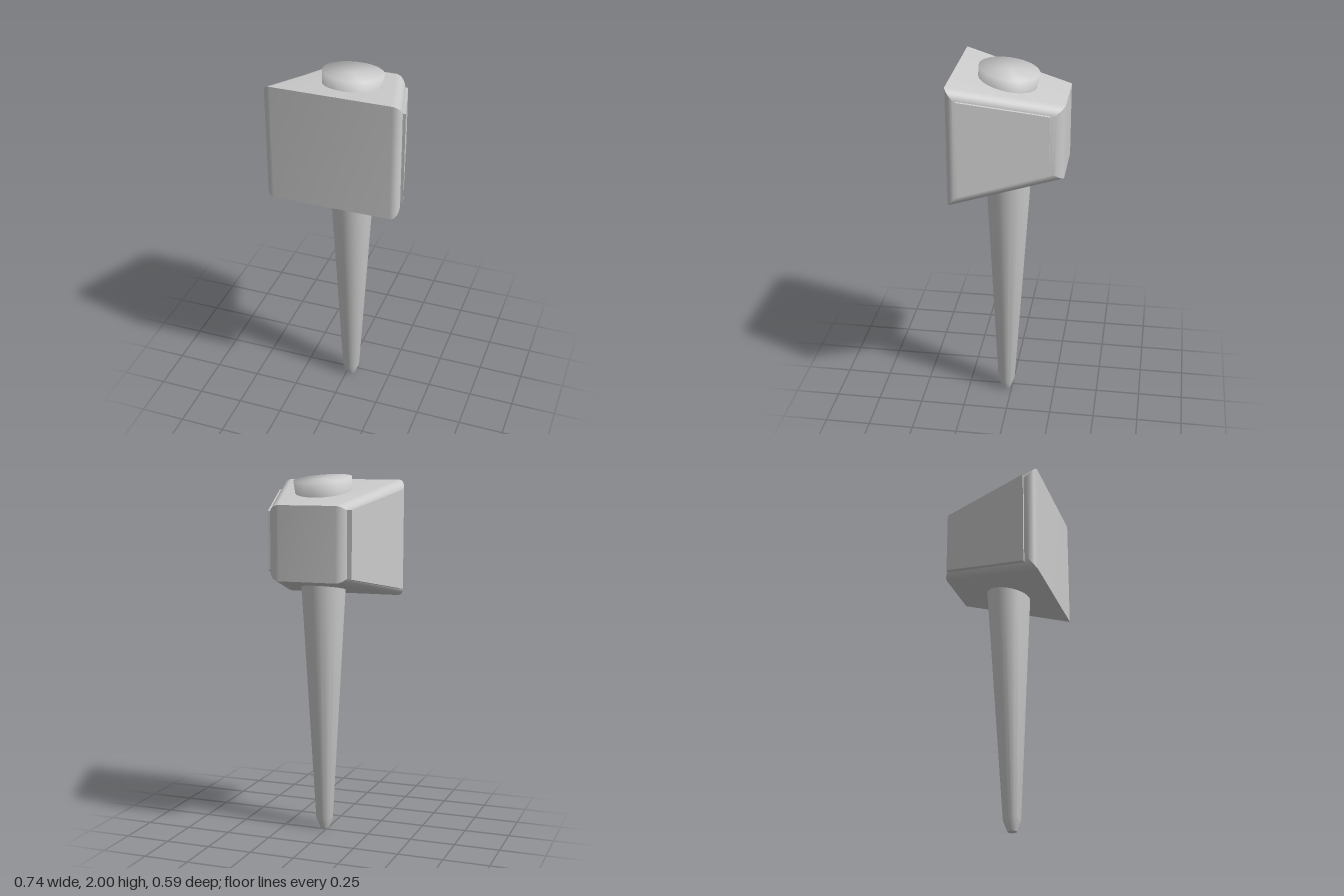
import * as THREE from 'three';
import { toCreasedNormals } from 'three/addons/utils/BufferGeometryUtils.js';

const SLOPE = 0.27; // how fast the head widens towards the front
const HALF = 0.293; // half width of the head at z = 0

const material = new THREE.MeshStandardMaterial({ color: 0xcccccc });

function add(group, name, geometry) {
  const mesh = new THREE.Mesh(geometry, material);
  mesh.name = name;
  group.add(mesh);
  return mesh;
}

// Extrudes a side profile of [z, y] corners along x, centred on x = 0
function sideExtrude(corners, depth, options) {
  const shape = new THREE.Shape(corners.map(([z, y]) => new THREE.Vector2(z, y)));
  const geometry = new THREE.ExtrudeGeometry(shape, { depth, ...options });
  geometry.translate(0, 0, -depth / 2);
  geometry.rotateY(-Math.PI / 2);
  return geometry;
}

// Moves every vertex by a rule
function deform(geometry, rule) {
  const p = geometry.attributes.position;
  const v = new THREE.Vector3();
  for (let i = 0; i < p.count; i++) {
    rule(v.fromBufferAttribute(p, i));
    p.setXYZ(i, v.x, v.y, v.z);
  }
  return geometry;
}

// Slants the sides so that the head is narrower at the back
const taper = (v) => { v.x += Math.sign(v.x) * SLOPE * v.z; };

function sidePlate(corners, side, proud) {
  const depth = 0.035;
  const geometry = sideExtrude(corners, depth, { bevelEnabled: false });
  geometry.translate(side * (HALF + proud - depth / 2), 0, 0);
  return toCreasedNormals(deform(geometry, taper), 0.3);
}

export function createModel() {
  const model = new THREE.Group();
  model.name = 'spikedMallet';

  // Wedge-shaped head with rounded edges around both sides
  const round = 0.055;
  const head = sideExtrude(
    [[-0.295, 1.445], [0.295, 1.325], [0.295, 1.97], [-0.295, 1.845]],
    2 * (HALF - round),
    { bevelThickness: round, bevelSize: 0.06, bevelOffset: -0.06, bevelSegments: 8 }
  );
  add(model, 'head', toCreasedNormals(deform(head, taper), 0.3));

  // Thin plates on the two slanted sides
  add(model, 'leftPlate', sidePlate(
    [[-0.225, 1.495], [0.235, 1.39], [0.235, 1.91], [-0.225, 1.81]], 1, 0.015));
  add(model, 'rightPlate', sidePlate(
    [[-0.265, 1.465], [0.225, 1.37], [0.225, 1.92], [-0.265, 1.825]], -1, 0.018));

  // Tapered shaft with a blunt tip, leaning very slightly
  const shaftProfile = [[0, 0], [0.025, 0], [0.048, 0.06], [0.123, 1.4], [0.13, 1.55]]
    .map(([r, y]) => new THREE.Vector2(r, y));
  const shaft = deform(new THREE.LatheGeometry(shaftProfile, 40), (v) => {
    v.x += 0.022;
    v.z += 0.033 - 0.011 * v.y;
  });
  add(model, 'shaft', toCreasedNormals(shaft, 0.35));

  // Short round knob, tilted with the top of the head
  const knobProfile = [[0.15, -0.13], [0.16, 0], [0, 0]]
    .map(([r, y]) => new THREE.Vector2(r, y));
  const knob = add(model, 'knob', new THREE.LatheGeometry(knobProfile, 48));
  knob.position.set(0.025, 1.978, 0.012);
  knob.rotation.set(-0.14, 0, -0.03);

  return model;
}
